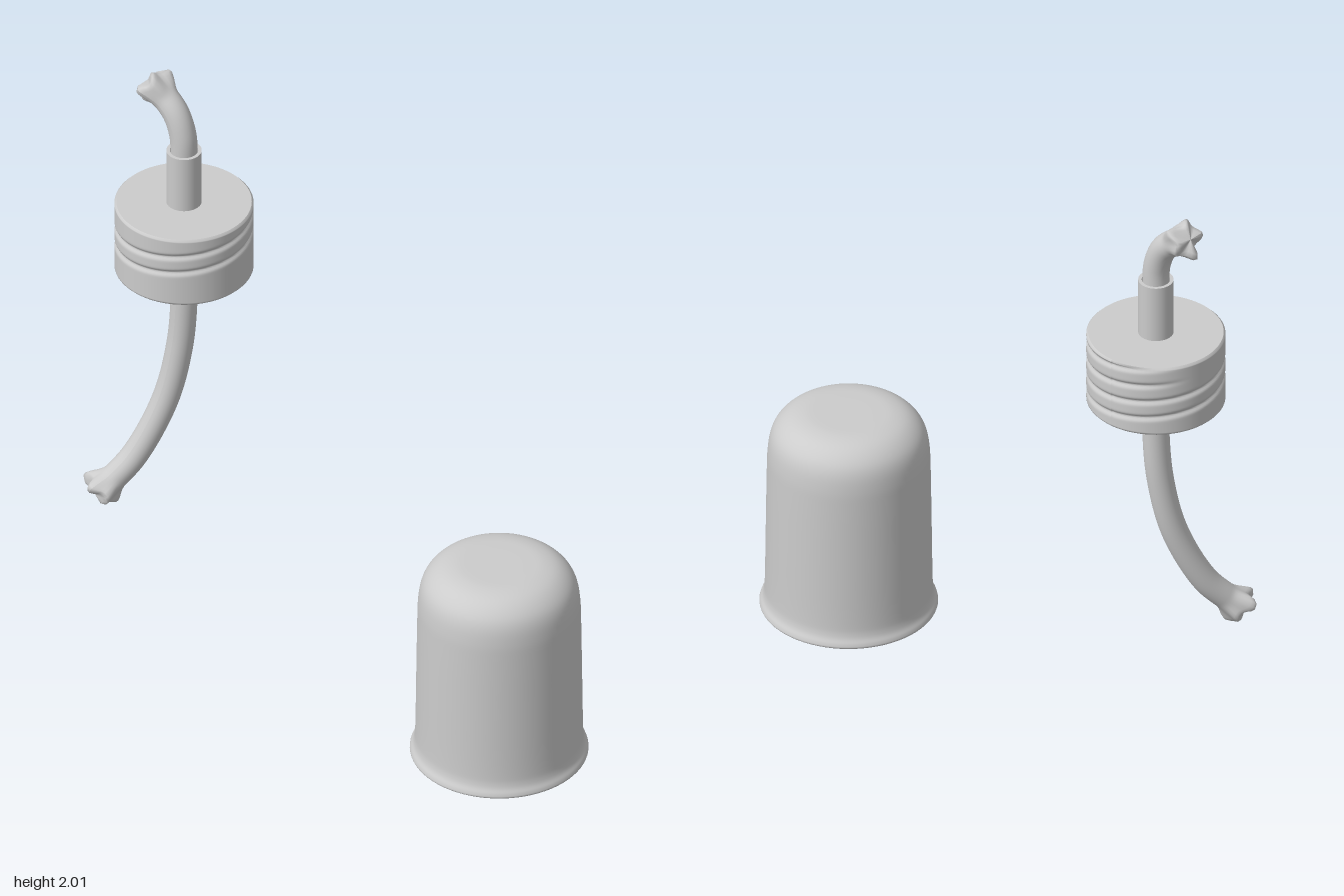
import * as THREE from 'three';

const material = new THREE.MeshStandardMaterial({ color: 0xcccccc, side: THREE.DoubleSide });
const points = (list) => list.map(([x, y]) => new THREE.Vector2(x, y));

function addMesh(parent, name, geometry) {
  const mesh = new THREE.Mesh(geometry, material);
  mesh.name = name;
  parent.add(mesh);
  return mesh;
}

// Repeating each profile point keeps the lathe's corners sharp
const sharpLathe = (list, segments) =>
  new THREE.LatheGeometry(points(list.flatMap((p) => [p, p]).slice(1, -1)), segments);

// Hollow domed cover with a flared rim
function coverGeometry() {
  const outer = new THREE.SplineCurve(points([
    [0.272, 0], [0.282, 0.008], [0.28, 0.02], [0.269, 0.045], [0.265, 0.1], [0.262, 0.3], [0.259, 0.5],
    [0.256, 0.58], [0.246, 0.635], [0.225, 0.672], [0.19, 0.7], [0.145, 0.714], [0.09, 0.717], [0, 0.717],
  ])).getPoints(70);
  const inner = new THREE.SplineCurve(points([
    [0, 0.703], [0.14, 0.7], [0.21, 0.665], [0.243, 0.58], [0.25, 0.3], [0.254, 0.05], [0.272, 0],
  ])).getPoints(40);
  return new THREE.LatheGeometry([...inner, ...outer.slice(1)].map((p) => p.setX(Math.max(p.x, 0))), 72);
}

// Outer lid wall, pressed in along both sides of one rising thread
function threadedWallGeometry() {
  const radius = 0.22, bottom = 1.305, top = 1.555, rows = 60;
  const profile = [[radius - 0.006, bottom]];
  for (let i = 0; i <= rows; i++) {
    profile.push([radius, THREE.MathUtils.lerp(bottom + 0.006, top - 0.006, i / rows)]);
  }
  profile.push([radius - 0.006, top]);
  const geometry = new THREE.LatheGeometry(points(profile), 96, Math.PI);
  const pos = geometry.attributes.position;
  for (let i = 0; i < pos.count; i++) {
    const x = pos.getX(i), y = pos.getY(i), z = pos.getZ(i);
    const angle = Math.atan2(x, z);
    let depth = 0;
    for (const turn of [-1, 0, 1]) {
      const a = angle + turn * 2 * Math.PI;
      const offset = Math.abs(y - 1.448 - 0.12 * a / (2 * Math.PI));
      const fade = 1 - THREE.MathUtils.smoothstep(Math.abs(a), 1.1 * Math.PI, 1.4 * Math.PI);
      depth = Math.max(depth, 0.009 * fade * Math.exp(-(((offset - 0.03) / 0.008) ** 2)));
    }
    const s = 1 - depth / radius;
    pos.setXYZ(i, x * s, y, z * s);
  }
  geometry.computeVertexNormals();
  return geometry;
}

// Bent cord whose two ends flare into frayed, lobed tips
function wickGeometry() {
  const path = new THREE.CatmullRomCurve3([
    [-0.81, 1.962, 0], [-0.755, 1.932, 0], [-0.7, 1.883, 0], [-0.67, 1.81, 0], [-0.665, 1.7, 0],
    [-0.665, 1.45, 0], [-0.664, 1.2, 0], [-0.675, 1, 0.01], [-0.705, 0.8, 0.045],
    [-0.762, 0.61, 0.12], [-0.8, 0.535, 0.175], [-0.84, 0.475, 0.232],
  ].map((p) => new THREE.Vector3(...p)));
  const steps = 180, sides = 30, radius = 0.043;
  const geometry = new THREE.TubeGeometry(path, steps, radius, sides, false);
  const length = path.getLength();
  const pos = geometry.attributes.position;
  const centre = new THREE.Vector3(), v = new THREE.Vector3();
  for (let i = 0; i <= steps; i++) {
    path.getPointAt(i / steps, centre);
    const fromEnd = Math.min(i, steps - i);
    const flare = 1 - THREE.MathUtils.smoothstep(fromEnd * length / steps, 0.012, 0.095);
    const closing = [0, 0.72, 0.95][fromEnd] ?? 1;
    const outward = path.getTangentAt(i / steps).multiplyScalar(i < steps / 2 ? -1 : 1);
    for (let j = 0; j <= sides; j++) {
      const a = j / sides * Math.PI * 2;
      const lobes = 0.42 + 0.2 * Math.cos(5 * a + 1) + 0.14 * Math.sin(3 * a);
      const k = i * (sides + 1) + j;
      v.fromBufferAttribute(pos, k).sub(centre).multiplyScalar((1 + flare * lobes) * closing).add(centre);
      if (fromEnd > 0) v.addScaledVector(outward, 0.012 * flare * Math.sin(4 * a + 2));
      pos.setXYZ(k, v.x, v.y, v.z);
    }
  }
  geometry.computeVertexNormals();
  return geometry;
}

export function createModel() {
  const model = new THREE.Group();
  model.name = 'burnerWithCover';

  addMesh(model, 'cover', coverGeometry()).position.set(0.61, 0, 0);

  // Screw lid, open underneath
  const lid = new THREE.Group();
  lid.name = 'lid';
  lid.position.x = -0.665;
  model.add(lid);
  addMesh(lid, 'threadedWall', threadedWallGeometry());
  addMesh(lid, 'lidTop', sharpLathe([[0.214, 1.555], [0.05, 1.555]], 96));
  addMesh(lid, 'lidInside', sharpLathe([[0.05, 1.54], [0.206, 1.54], [0.206, 1.305], [0.214, 1.305]], 96));

  // Hollow sleeve holding the wick
  addMesh(lid, 'wickSleeve', sharpLathe(
    [[0.045, 1.272], [0.056, 1.272], [0.056, 1.752], [0.045, 1.752], [0.045, 1.272]], 48));

  addMesh(model, 'wick', wickGeometry());
  return model;
}
